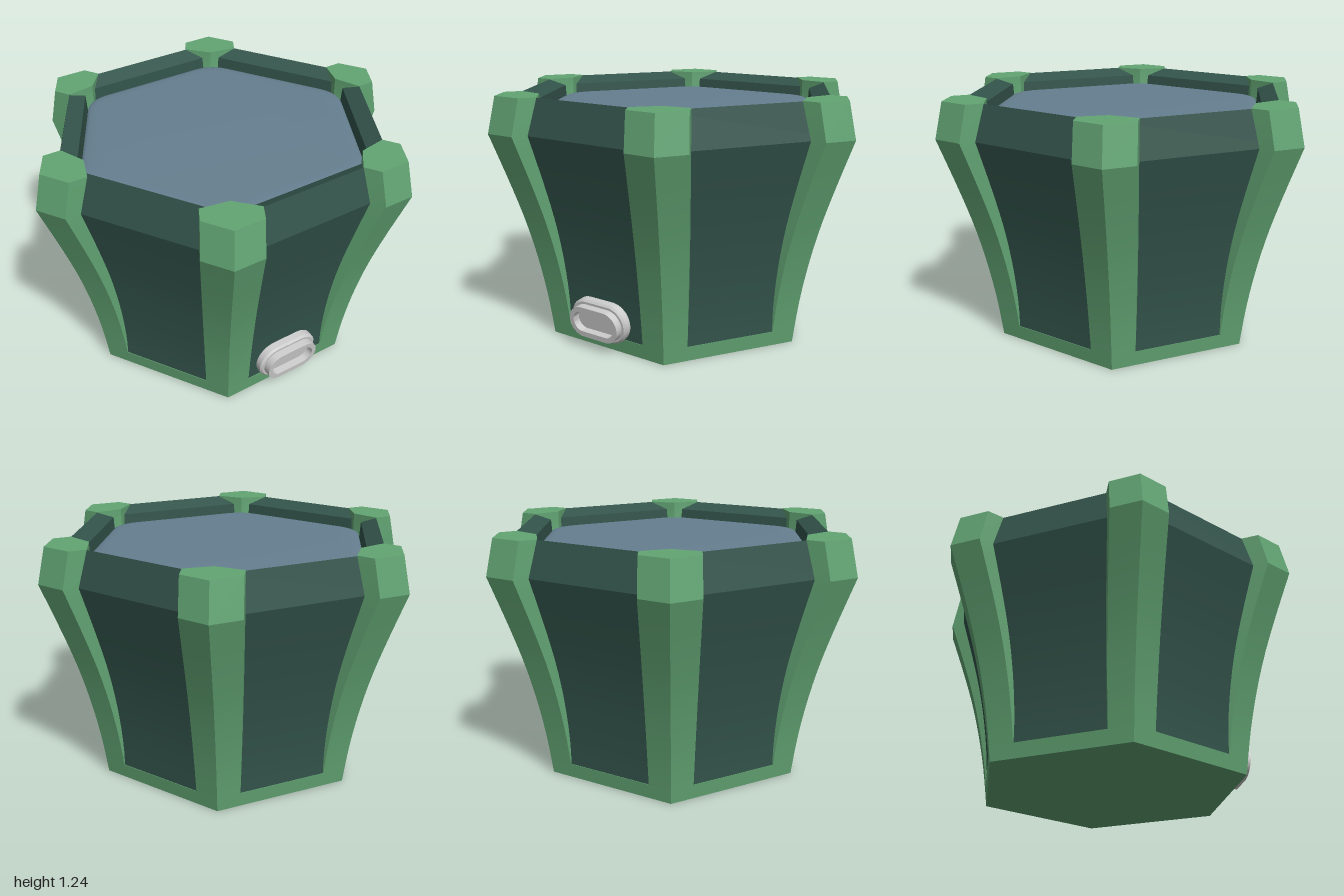
import * as THREE from 'three';
import { toCreasedNormals } from 'three/addons/utils/BufferGeometryUtils.js';

const COS30 = Math.cos(Math.PI / 6);
const FOOT = 0.075, SHOULDER = 1.06, TOP = 1.24;

// Flared corner radius of the hexagonal body, from ground to shoulder
const flare = new THREE.SplineCurve([
  [0.705, 0], [0.735, 0.2], [0.777, 0.4], [0.832, 0.6], [0.901, 0.8], [1.0, SHOULDER],
].map(([r, y]) => new THREE.Vector2(r, y)));
const flareSamples = flare.getPoints(60);

function radiusAt(y) {
  if (y >= SHOULDER) return 1 - 0.04 * (y - SHOULDER) / (TOP - SHOULDER);
  const i = Math.max(1, flareSamples.findIndex((p) => p.y >= y));
  const a = flareSamples[i - 1], b = flareSamples[i];
  return THREE.MathUtils.mapLinear(y, a.y, b.y, a.x, b.x);
}

const levels = [];
for (let i = 0; i < 14; i++) levels.push(THREE.MathUtils.lerp(FOOT, SHOULDER, i / 14));
levels.push(SHOULDER, TOP);

const material = (color) => new THREE.MeshStandardMaterial({ color });

function addMesh(parent, name, geometry, mat) {
  const mesh = new THREE.Mesh(geometry, mat);
  mesh.name = name;
  parent.add(mesh);
  return mesh;
}

// Six-sided turned body with corners on the x axis
function hexLathe(points) {
  const profile = points.map(([r, y]) => new THREE.Vector2(r, y));
  return toCreasedNormals(new THREE.LatheGeometry(profile, 6, Math.PI / 6), 0.35);
}

// Skin a stack of equal-length rings and cap both ends
function loft(rings) {
  const n = rings[0].length, index = [];
  for (let r = 0; r < rings.length - 1; r++) {
    for (let i = 0; i < n; i++) {
      const a = r * n + i, b = r * n + (i + 1) % n;
      index.push(a, a + n, b, b, a + n, b + n);
    }
  }
  const last = (rings.length - 1) * n;
  for (let i = 1; i < n - 1; i++) {
    index.push(0, i, i + 1, last, last + i + 1, last + i);
  }
  const g = new THREE.BufferGeometry();
  g.setAttribute('position', new THREE.Float32BufferAttribute(rings.flat(2), 3));
  g.setIndex(index);
  return toCreasedNormals(g, 0.35);
}

// Corner post cross-section: outer corner follows the hexagon, sides run inward
function postRing(y) {
  const r = radiusAt(y);
  const h = y > SHOULDER ? 0.137 : THREE.MathUtils.mapLinear(y, FOOT, SHOULDER, 0.108, 0.14);
  const inner = y >= SHOULDER ? 0.742 : r - 0.258;
  const outerSide = r - h / Math.sqrt(3), innerSide = inner + 0.05;
  return [
    [r, y, 0], [outerSide, y, h], [innerSide, y, h],
    [inner, y, 0], [innerSide, y, -h], [outerSide, y, -h],
  ];
}

// Hexagon outline with softened corners
function roundedHex(radius, cut) {
  const corner = (i) => new THREE.Vector2(
    radius * Math.cos(i * Math.PI / 3), radius * Math.sin(i * Math.PI / 3));
  const shape = new THREE.Shape();
  for (let i = 0; i < 6; i++) {
    const c = corner(i);
    const a = c.clone().lerp(corner(i - 1), cut / radius);
    const b = c.clone().lerp(corner(i + 1), cut / radius);
    if (i === 0) shape.moveTo(a.x, a.y);
    else shape.lineTo(a.x, a.y);
    shape.quadraticCurveTo(c.x, c.y, b.x, b.y);
  }
  shape.closePath();
  return shape;
}

// Pill outline given half width and half height
function pill(w, h, PathType = THREE.Shape) {
  const p = new PathType();
  p.absarc(w - h, 0, h, -Math.PI / 2, Math.PI / 2, false);
  p.absarc(h - w, 0, h, Math.PI / 2, Math.PI * 1.5, false);
  p.closePath();
  return p;
}

export function createModel() {
  const model = new THREE.Group();
  model.name = 'hexagonalPlanter';
  const green = material(0x62a473);
  const darkGreen = material(0x33544b);
  const blue = material(0x667f90);
  const grey = material(0xcccccc);

  // Base plinth
  const footR = radiusAt(FOOT);
  addMesh(model, 'base', hexLathe([[0, 0], [0.705, 0], [footR, FOOT], [footR - 0.05, FOOT]]), green);

  // Recessed wall panels, ending just below the post tops
  const wall = levels.map((y) => {
    const t = (y - FOOT) / (SHOULDER - FOOT);
    const depth = y > SHOULDER ? 0.076 : 0.003 + 0.063 * Math.pow(t, 0.85);
    return [radiusAt(y) - depth / COS30, Math.min(y, TOP - 0.002)];
  });
  // Sloping rim, inner wall and hidden floor
  const rim = [[0.785, 1.2], [0.774, 1.05], [0, 1.05]];
  addMesh(model, 'wallPanels', hexLathe([...wall, ...rim]), darkGreen);

  // Corner posts
  const postGeometry = loft(levels.map(postRing));
  for (let i = 0; i < 6; i++) {
    addMesh(model, 'cornerPost', postGeometry, green).rotation.y = i * Math.PI / 3;
  }

  // Nearly flat filling with softened edges
  const fill = new THREE.ExtrudeGeometry(roundedHex(0.678, 0.06), {
    depth: 0.05, bevelEnabled: true, bevelThickness: 0.015, bevelSize: 0.08,
    bevelSegments: 5, curveSegments: 5,
  });
  fill.rotateX(-Math.PI / 2);
  addMesh(model, 'filling', toCreasedNormals(fill, 0.6), blue).position.y = 1.096;

  // Drain outlet on the front
  const outlet = new THREE.Group();
  outlet.name = 'drainOutlet';
  outlet.position.set(-0.013, 0.155, 0.615);
  outlet.rotation.x = 0.12;
  const flange = new THREE.ExtrudeGeometry(pill(0.162, 0.092), {
    depth: 0.035, bevelEnabled: true, bevelThickness: 0.01, bevelSize: 0.01,
    bevelSegments: 1, curveSegments: 10,
  });
  addMesh(outlet, 'outletFlange', toCreasedNormals(flange, 0.5), grey);
  const lipShape = pill(0.15, 0.08);
  lipShape.holes.push(pill(0.125, 0.052, THREE.Path));
  const lip = new THREE.ExtrudeGeometry(lipShape, { depth: 0.055, bevelEnabled: false, curveSegments: 10 });
  addMesh(outlet, 'outletLip', toCreasedNormals(lip, 0.5), grey).position.z = 0.028;
  model.add(outlet);

  return model;
}
